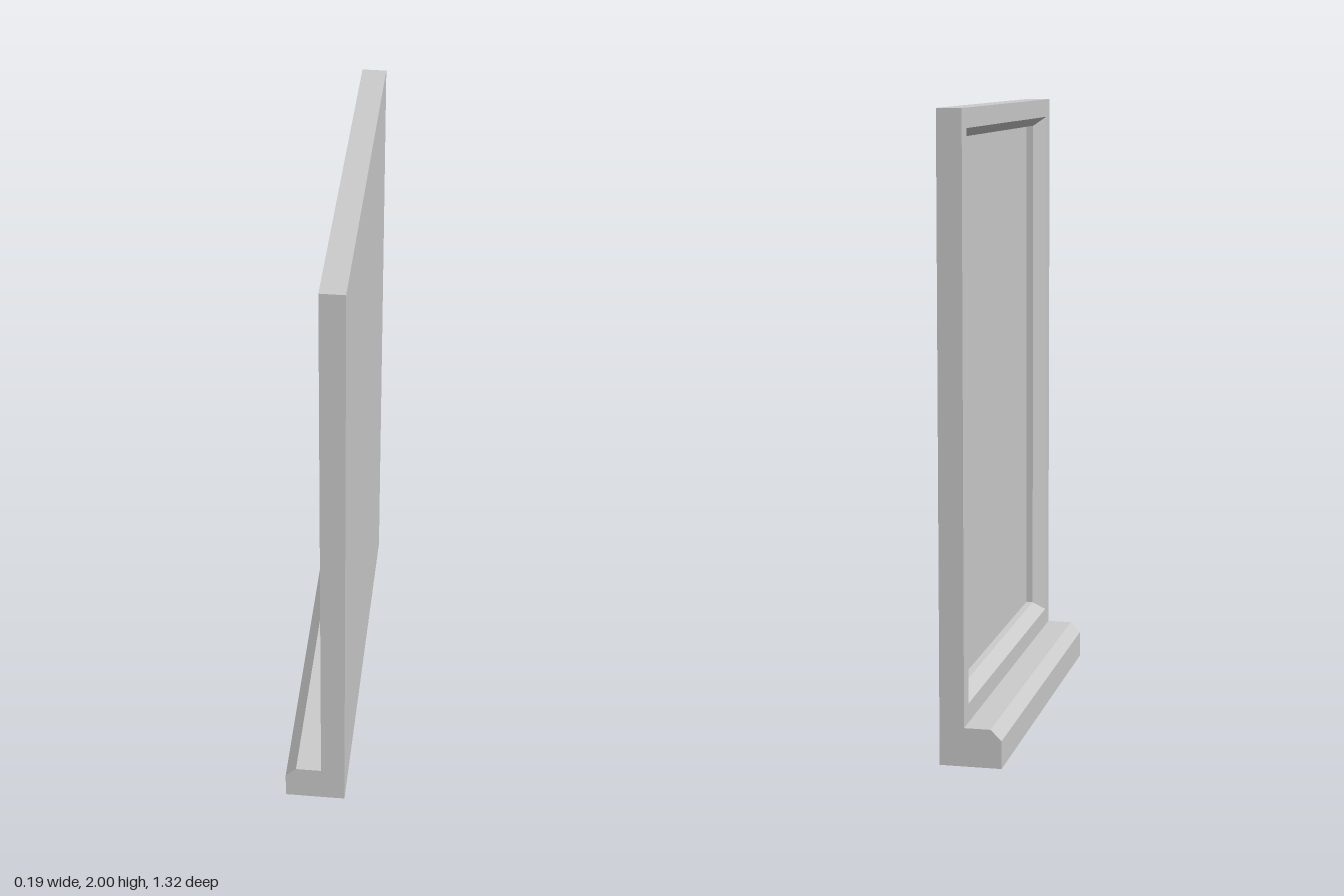
import * as THREE from 'three';

const BACK = 0.0975, FACE = 0.02, LEDGE = 0.122, TOP = 2, HALF = 0.658;
const BORDER = 0.09;   // full width of the frame members
const PANE = 0.083;    // depth at which the pane sits

const material = new THREE.MeshStandardMaterial({ color: 0xcccccc, flatShading: true });

function addMesh(group, name, geometry) {
  const mesh = new THREE.Mesh(geometry, material);
  mesh.name = name;
  group.add(mesh);
  return mesh;
}

// Sweeps a closed profile of [x, inset] points round the mitred rectangle
function mitredFrame(profile) {
  const rings = profile.map(([x, i]) => [
    [x, LEDGE + i, -HALF + i],
    [x, TOP - i, -HALF + i],
    [x, TOP - i, HALF - i],
    [x, LEDGE + i, HALF - i],
  ]);
  const positions = [];
  rings.forEach((a, r) => {
    const b = rings[(r + 1) % rings.length];
    for (let k = 0; k < 4; k++) {
      const n = (k + 1) % 4;
      for (const p of [a[k], a[n], b[n], a[k], b[n], b[k]]) positions.push(...p);
    }
  });
  const geometry = new THREE.BufferGeometry();
  geometry.setAttribute('position', new THREE.Float32BufferAttribute(positions, 3));
  geometry.computeVertexNormals();
  return geometry;
}

export function createModel() {
  const model = new THREE.Group();
  model.name = 'windowPanel';

  // Frame with a bevelled inner edge and a short straight rebate
  addMesh(model, 'frame', mitredFrame([
    [PANE, BORDER],
    [0.06, BORDER],
    [FACE, 0.06],
    [FACE, 0],
    [BACK, 0],
    [BACK, BORDER],
  ]));

  // Recessed pane, flush with the frame at the back
  const pane = addMesh(model, 'pane', new THREE.BoxGeometry(
    BACK - PANE, TOP - LEDGE - 2 * BORDER, 2 * (HALF - BORDER)));
  pane.position.set((BACK + PANE) / 2, (TOP + LEDGE) / 2, 0);

  // Projecting sill with a chamfered nose
  const section = new THREE.Shape([
    [-BACK, 0], [BACK, 0], [BACK, LEDGE], [-0.063, LEDGE], [-BACK, 0.088],
  ].map(([x, y]) => new THREE.Vector2(x, y)));
  const sill = new THREE.ExtrudeGeometry(section, { depth: 2 * HALF, bevelEnabled: false });
  sill.translate(0, 0, -HALF);
  addMesh(model, 'sill', sill);

  return model;
}
